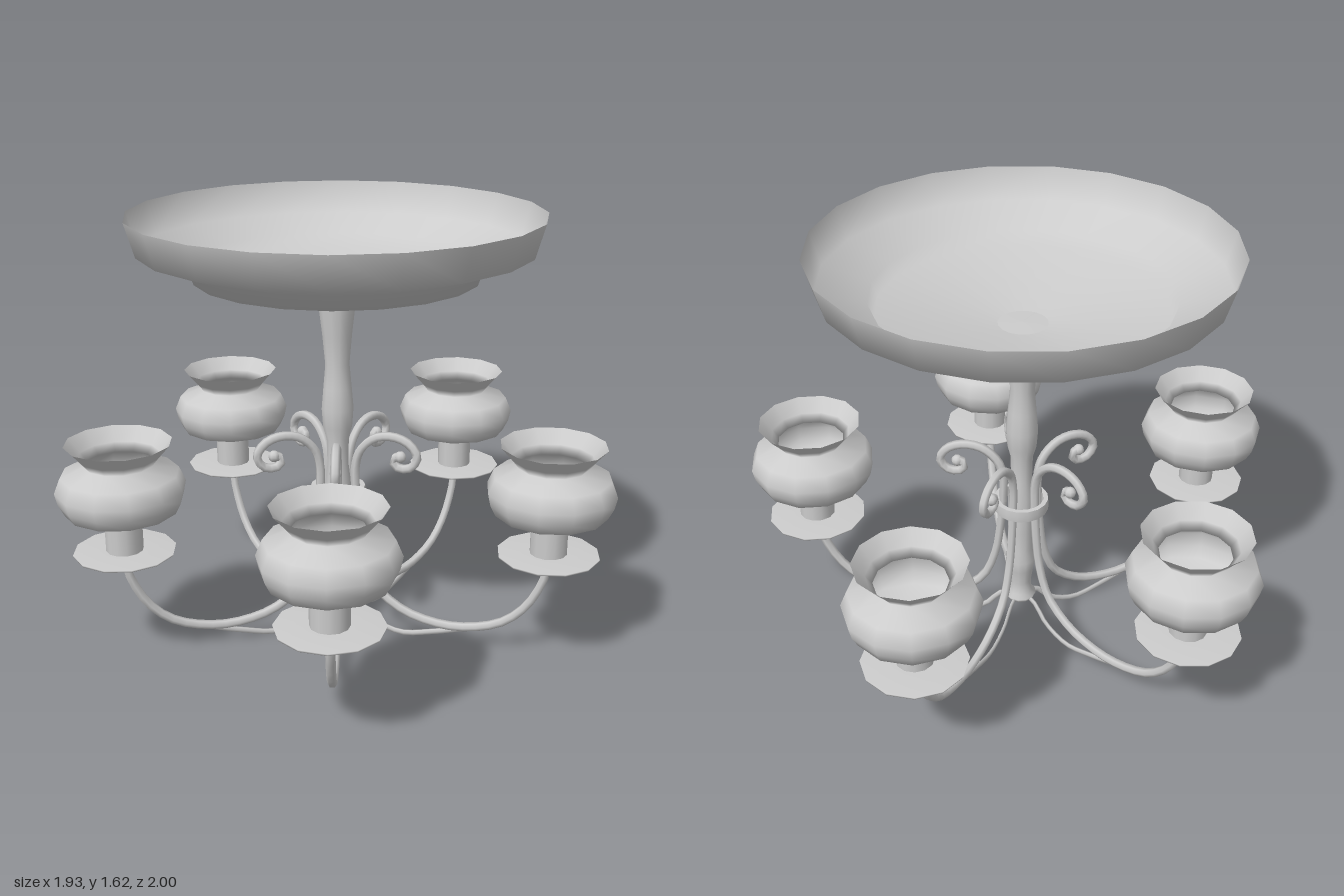
import * as THREE from 'three';

const metal = new THREE.MeshStandardMaterial({ color: 0xcccccc });
const thin = new THREE.MeshStandardMaterial({ color: 0xcccccc, side: THREE.DoubleSide });

function lathe(name, profile, sides, material = metal) {
  const points = profile.map(([r, y]) => new THREE.Vector2(r, y));
  const mesh = new THREE.Mesh(new THREE.LatheGeometry(points, sides), material);
  mesh.name = name;
  return mesh;
}

// Tube following [radius, height] points in the vertical plane of one arm
function rod(name, path, radius, steps) {
  const curve = new THREE.CatmullRomCurve3(path.map(([r, y]) => new THREE.Vector3(r, y, 0)));
  const mesh = new THREE.Mesh(new THREE.TubeGeometry(curve, steps, radius, 6), thin);
  mesh.name = name;
  return mesh;
}

// One light: drip pan, candle sleeve and open glass shade
function createLamp() {
  const lamp = new THREE.Group();
  lamp.name = 'lamp';
  lamp.add(
    lathe('dripPan', [[0, 0.36], [0.025, 0.365], [0.045, 0.4], [0.07, 0.418],
      [0.185, 0.427], [0.187, 0.434], [0.07, 0.436], [0, 0.436]], 12),
    lathe('candleSleeve', [[0.068, 0.43], [0.068, 0.57]], 12, thin),
    lathe('shade', [[0, 0.562], [0.1, 0.566], [0.205, 0.595], [0.225, 0.635], [0.235, 0.68],
      [0.212, 0.735], [0.125, 0.77], [0.148, 0.8], [0.192, 0.85]], 12, thin),
    lathe('bulbSocket', [[0.04, 0.562], [0.04, 0.575], [0, 0.58]], 12),
  );
  return lamp;
}

// One branch: main arm with its top scroll, lower ribbon and lamp
function createBranch() {
  const branch = new THREE.Group();
  branch.name = 'branch';
  const arm = rod('arm', [[0.81, 0.38], [0.798, 0.32], [0.735, 0.2], [0.64, 0.118], [0.49, 0.075],
    [0.36, 0.08], [0.25, 0.115], [0.15, 0.195], [0.1, 0.32], [0.08, 0.45], [0.07, 0.575]], 0.017, 24);
  const scroll = rod('scroll', [[0.07, 0.57], [0.07, 0.68], [0.09, 0.745], [0.147, 0.798], [0.218, 0.81],
    [0.28, 0.787], [0.31, 0.74], [0.285, 0.697], [0.235, 0.692], [0.215, 0.722], [0.245, 0.74]], 0.017, 26);
  const scrollEnd = new THREE.Mesh(new THREE.SphereGeometry(0.022, 8, 6), metal);
  scrollEnd.name = 'scrollEnd';
  scrollEnd.position.set(0.245, 0.735, 0);
  const ribbon = rod('lowerRibbon', [[0.045, 0.13], [0.085, 0.112], [0.14, 0.052], [0.25, 0.012],
    [0.38, 0.035], [0.52, 0.075]], 0.012, 14);
  ribbon.scale.z = 0.5;
  const lamp = createLamp();
  lamp.position.x = 0.81;
  branch.add(arm, scroll, scrollEnd, ribbon, lamp);
  return branch;
}

export function createModel() {
  const model = new THREE.Group();
  model.name = 'chandelier';
  const body = new THREE.Group();
  body.name = 'body';
  body.position.x = -0.08;
  model.add(body);

  // Turned centre column
  body.add(lathe('column', [[0, 0.12], [0.055, 0.12], [0.062, 0.135], [0.045, 0.15], [0.042, 0.2],
    [0.05, 0.26], [0.058, 0.31], [0.046, 0.36], [0.05, 0.45], [0.05, 0.6], [0.04, 0.68], [0.042, 0.78],
    [0.055, 0.83], [0.06, 0.9], [0.053, 0.98], [0.045, 1.07], [0.055, 1.18], [0.068, 1.29], [0.068, 1.31]], 12));
  body.add(lathe('columnCap', [[0, 1.3], [0.083, 1.3], [0.083, 1.3], [0.09, 1.335], [0.09, 1.335], [0, 1.338]], 16));

  // Ring that gathers the arms
  body.add(lathe('collar', [[0.085, 0.548], [0.103, 0.548], [0.103, 0.548], [0.105, 0.57],
    [0.103, 0.593], [0.103, 0.593], [0.085, 0.593], [0.085, 0.593], [0.085, 0.548]], 16));

  // Stepped open bowl at the top
  body.add(lathe('bowl', [[0, 1.333], [0.09, 1.335], [0.515, 1.397], [0.535, 1.45], [0.71, 1.503],
    [0.745, 1.625]], 20, thin));

  for (let i = 0; i < 5; i++) {
    const branch = createBranch();
    branch.rotation.y = (i * Math.PI * 2) / 5;
    body.add(branch);
  }
  return model;
}
